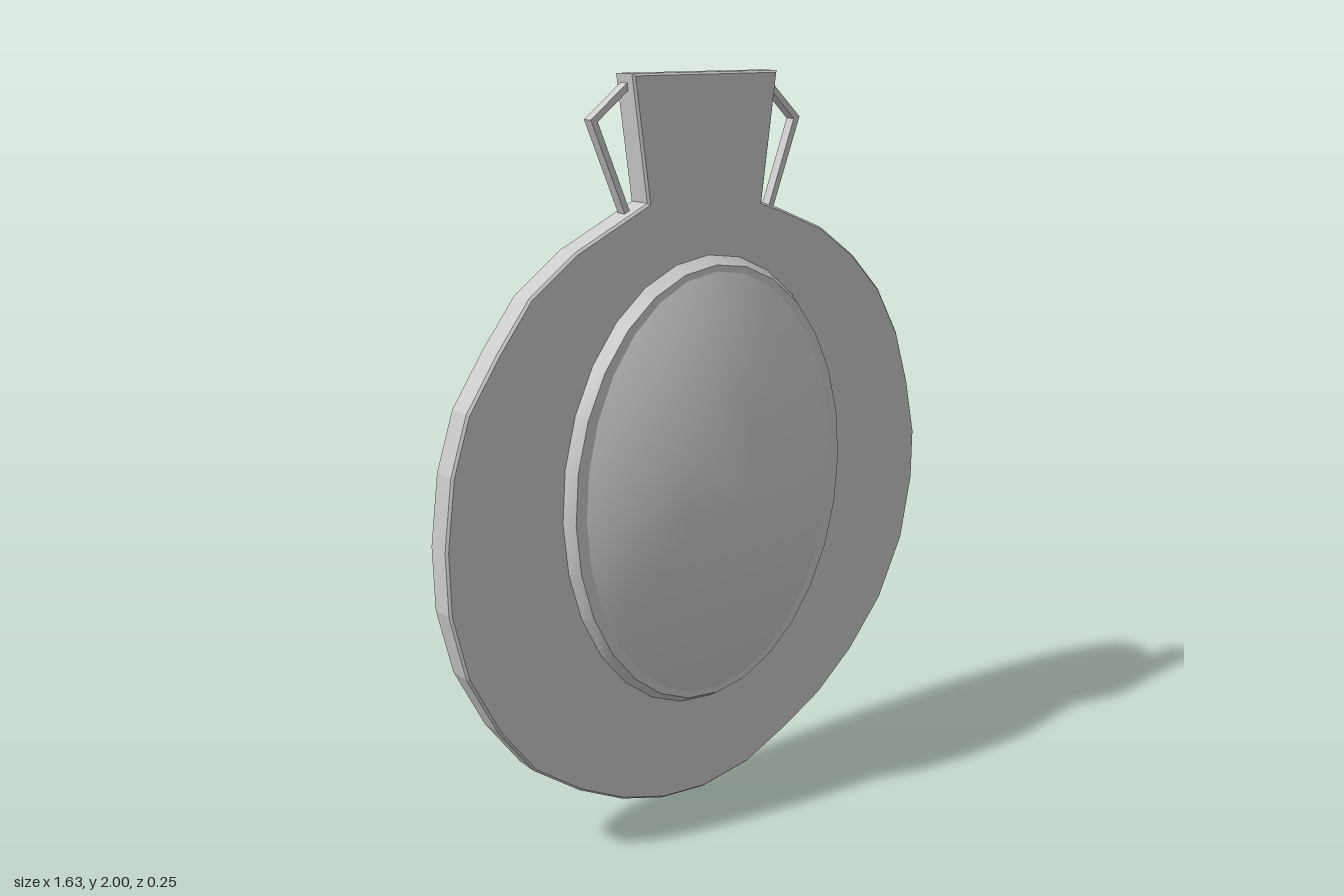
import * as THREE from 'three';
import { toCreasedNormals } from 'three/addons/utils/BufferGeometryUtils.js';

const material = new THREE.MeshStandardMaterial({ color: 0xcccccc });
const BACK = -0.125, FRONT = -0.05;

function addMesh(parent, name, geometry, crease) {
  const mesh = new THREE.Mesh(toCreasedNormals(geometry, crease), material);
  mesh.name = name;
  parent.add(mesh);
}

function shapeFrom(points) {
  return new THREE.Shape(points.map(([x, y]) => new THREE.Vector2(x, y)));
}

// Lathe profile of [radius ratio, z], turned to face +z and stretched to an oval
function ovalLathe(profile, rx, ry) {
  const geometry = new THREE.LatheGeometry(profile.map(([r, z]) => new THREE.Vector2(r, z)), 28);
  geometry.rotateX(Math.PI / 2);
  geometry.scale(rx, ry, 1);
  geometry.translate(-0.008, 0.917, 0);
  return geometry;
}

export function createModel() {
  const model = new THREE.Group();
  model.name = 'pendant';

  // Flat disc and flared neck in one plate with slightly softened edges
  const outline = [
    [-0.24, 2], [-0.2, 1.69], [-0.42, 1.59], [-0.555, 1.495], [-0.65, 1.375], [-0.74, 1.245],
    [-0.79, 1.1], [-0.817, 0.92], [-0.817, 0.755], [-0.78, 0.58], [-0.7, 0.41], [-0.6, 0.265],
    [-0.46, 0.155], [-0.32, 0.075], [-0.18, 0.025], [-0.03, 0.005], [0.14, 0.025], [0.29, 0.085],
    [0.43, 0.155], [0.565, 0.26], [0.69, 0.4], [0.78, 0.58], [0.817, 0.77], [0.817, 0.92],
    [0.78, 1.08], [0.725, 1.24], [0.64, 1.38], [0.53, 1.49], [0.4, 1.58], [0.24, 1.645],
    [0.18, 1.665], [0.23, 2],
  ];
  const bevel = 0.006;
  const plate = new THREE.ExtrudeGeometry(shapeFrom(outline), {
    depth: FRONT - BACK - 2 * bevel,
    bevelSize: bevel, bevelThickness: bevel, bevelOffset: -bevel, bevelSegments: 1,
  });
  plate.translate(0, 0, BACK + bevel);
  addMesh(model, 'plate', plate, 0.15);

  // Raised oval setting
  const rim = ovalLathe([[1, FRONT - 0.005], [1, FRONT], [0.965, -0.017], [0.86, -0.017]], 0.478, 0.627);
  addMesh(model, 'rim', rim, 0.5);

  // Domed stone
  const dome = ovalLathe([[1, -0.018], [0.83, 0.03], [0.45, 0.095], [0, 0.124]], 0.43, 0.59);
  addMesh(model, 'dome', dome, 1);

  // Thin bent loops on each side of the neck: shoulder, elbow and foot
  const loops = [
    ['rightLoop', [[-0.23, 1.983], [-0.347, 1.895], [-0.25, 1.66], [-0.232, 1.66], [-0.327, 1.89], [-0.23, 1.963]]],
    ['leftLoop', [[0.22, 1.983], [0.337, 1.878], [0.243, 1.64], [0.225, 1.64], [0.316, 1.873], [0.22, 1.961]]],
  ];
  for (const [name, points] of loops) {
    const loop = new THREE.ExtrudeGeometry(shapeFrom(points), { depth: 0.028, bevelEnabled: false });
    loop.translate(0, 0, -0.107);
    addMesh(model, name, loop, 0.3);
  }

  return model;
}
